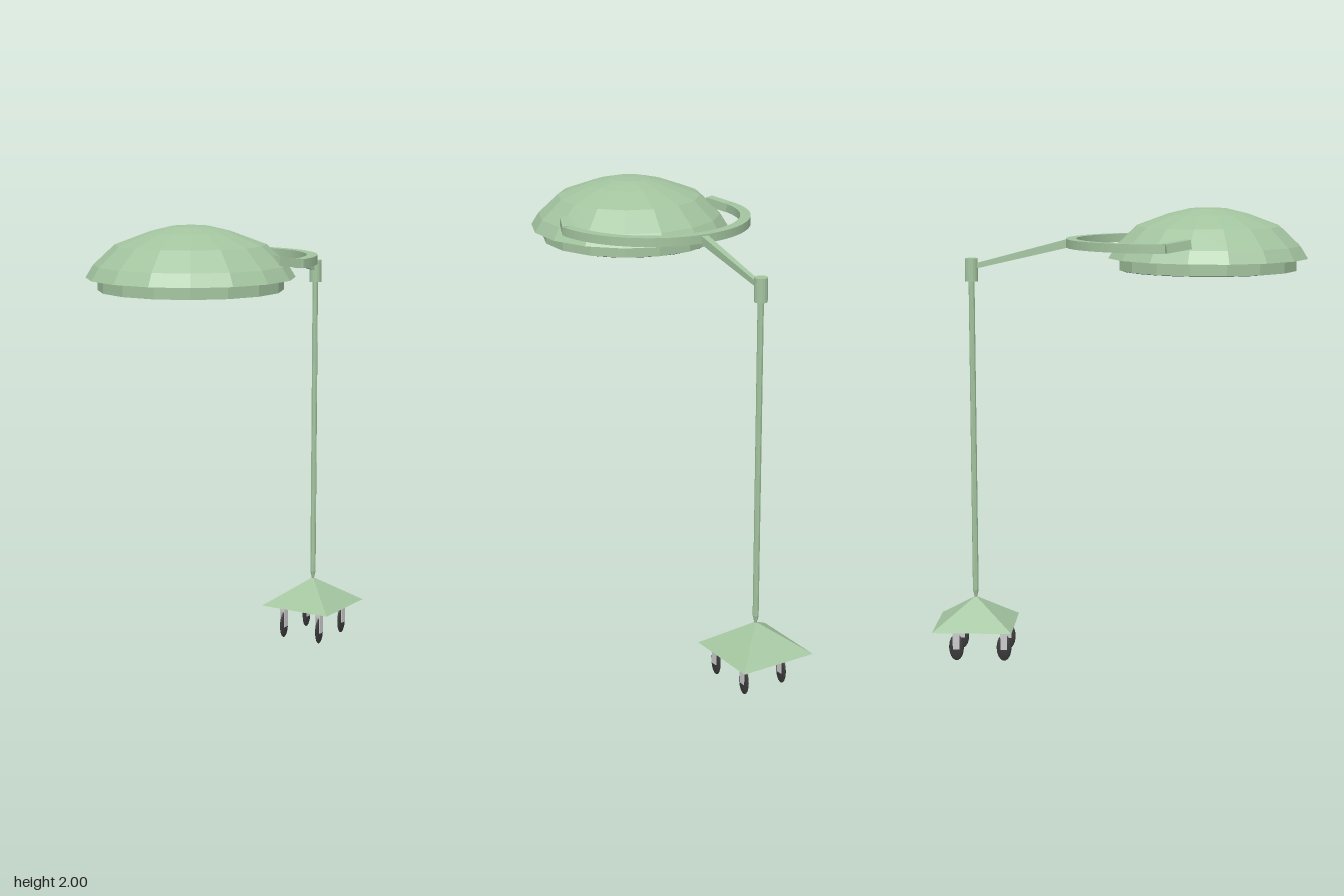
import * as THREE from 'three';

const green = new THREE.MeshStandardMaterial({ color: 0xa3c49f, flatShading: true });
const dark = new THREE.MeshStandardMaterial({ color: 0x3a3a3a, side: THREE.DoubleSide });
const grey = new THREE.MeshStandardMaterial({ color: 0xcccccc, side: THREE.DoubleSide });

const HEAD_Z = 0.38, POLE_X = 0.005, POLE_Z = -0.642;

function add(parent, name, geometry, material, x = 0, y = 0, z = 0) {
  const mesh = new THREE.Mesh(geometry, material);
  mesh.name = name;
  mesh.position.set(x, y, z);
  parent.add(mesh);
  return mesh;
}

// Rectangular bar from a to b, its far end scaled by taper
function addBar(parent, name, a, b, width, height, taper = 1) {
  const from = new THREE.Vector3(...a), to = new THREE.Vector3(...b);
  const length = from.distanceTo(to);
  const geo = new THREE.BoxGeometry(width, height, length);
  const p = geo.attributes.position;
  for (let i = 0; i < p.count; i++) {
    if (p.getZ(i) > 0) p.setXY(i, p.getX(i) * taper, p.getY(i) * taper);
  }
  const bar = add(parent, name, geo, green);
  bar.position.copy(from).add(to).multiplyScalar(0.5);
  bar.lookAt(to);
}

function buildHead() {
  const head = new THREE.Group();
  head.name = 'lampHead';
  head.position.z = HEAD_Z;

  // Faceted dome with a narrower drum below
  const profile = [[0.384, 1.735], [0.384, 1.787], [0.433, 1.787], [0.4, 1.84],
    [0.312, 1.922], [0.175, 1.973], [0.08, 1.996], [0, 2]]
    .map(([r, y]) => new THREE.Vector2(r, y));
  add(head, 'dome', new THREE.LatheGeometry(profile, 16, Math.PI / 16), green);

  // Dark underside with one central and four outer recessed lamps
  const lamps = [[0, 0.02], [0.18, 0.19], [-0.16, 0.2], [0.19, -0.17], [-0.18, -0.18]];
  const face = new THREE.Shape();
  for (let i = 0; i < 16; i++) {
    const a = (i + 0.5) * Math.PI / 8;
    const x = 0.383 * Math.cos(a), y = 0.383 * Math.sin(a);
    if (i === 0) face.moveTo(x, y); else face.lineTo(x, y);
  }
  face.closePath();
  for (const [x, z] of lamps) {
    face.holes.push(new THREE.Path().absarc(x, z, 0.098, 0, Math.PI * 2, true));
  }
  add(head, 'underside', new THREE.ShapeGeometry(face, 12).rotateX(Math.PI / 2), dark, 0, 1.736, 0);
  for (const [x, z] of lamps) {
    add(head, 'lampRim', new THREE.CylinderGeometry(0.098, 0.098, 0.045, 24, 1, true), grey, x, 1.758, z);
    add(head, 'lampFace', new THREE.CircleGeometry(0.098, 24).rotateX(Math.PI / 2), dark, x, 1.78, z);
  }

  // Flat plate over the rear right half of the underside
  const plate = new THREE.CircleGeometry(0.375, 16, Math.PI - 0.59, Math.PI).rotateX(Math.PI / 2);
  add(head, 'coverPlate', plate, dark, 0, 1.733, 0);
  return head;
}

function buildArm() {
  const arm = new THREE.Group();
  arm.name = 'supportArm';

  // Half-ring yoke behind the head
  const arc = new THREE.Shape();
  arc.absarc(0, 0, 0.433, Math.PI, Math.PI * 2, false);
  arc.absarc(0, 0, 0.388, Math.PI * 2, Math.PI, true);
  const yoke = new THREE.ExtrudeGeometry(arc, { depth: 0.037, bevelEnabled: false, curveSegments: 32 });
  yoke.rotateX(Math.PI / 2);
  add(arm, 'yoke', yoke, green, 0, 1.868, 0.203);

  // Yoke ends turn inward to the dome
  for (const s of [-1, 1]) {
    addBar(arm, 'yokeEnd', [s * 0.408, 1.85, 0.2], [s * 0.365, 1.866, 0.3], 0.046, 0.038);
  }

  // Tapered link down to the pole
  addBar(arm, 'link', [0, 1.85, -0.205], [POLE_X, 1.742, POLE_Z], 0.032, 0.036, 0.6);
  return arm;
}

function buildStand() {
  const stand = new THREE.Group();
  stand.name = 'stand';
  stand.position.set(POLE_X, 0, POLE_Z);

  add(stand, 'collar', new THREE.CylinderGeometry(0.028, 0.028, 0.1, 16), green, 0, 1.73, 0);
  const profile = [[0.004, 0.265], [0.013, 0.305], [0.013, 1.7]]
    .map(([r, y]) => new THREE.Vector2(r, y));
  add(stand, 'pole', new THREE.LatheGeometry(profile, 8), green);

  // Square pyramid base
  const base = new THREE.CylinderGeometry(0, 0.175 * Math.SQRT2, 0.125, 4).rotateY(Math.PI / 4);
  add(stand, 'base', base, green, 0, 0.2125, 0);

  // Four castors: thin oval tyre between two fork plates
  for (const x of [-0.08, 0.111]) {
    for (const z of [0.132, -0.08]) {
      const castor = new THREE.Group();
      castor.name = 'castor';
      castor.position.set(x, 0, z);
      const tyre = new THREE.SphereGeometry(1, 20, 12).scale(0.01, 0.06, 0.033);
      add(castor, 'tyre', tyre, dark, 0, 0.06, 0);
      for (const s of [-1, 1]) {
        add(castor, 'forkPlate', new THREE.BoxGeometry(0.004, 0.1, 0.03), grey, s * 0.0105, 0.102, 0);
      }
      add(castor, 'forkTop', new THREE.BoxGeometry(0.025, 0.025, 0.03), grey, 0, 0.14, 0);
      stand.add(castor);
    }
  }
  return stand;
}

export function createModel() {
  const model = new THREE.Group();
  model.name = 'surgicalLamp';
  model.add(buildHead(), buildArm(), buildStand());
  return model;
}
